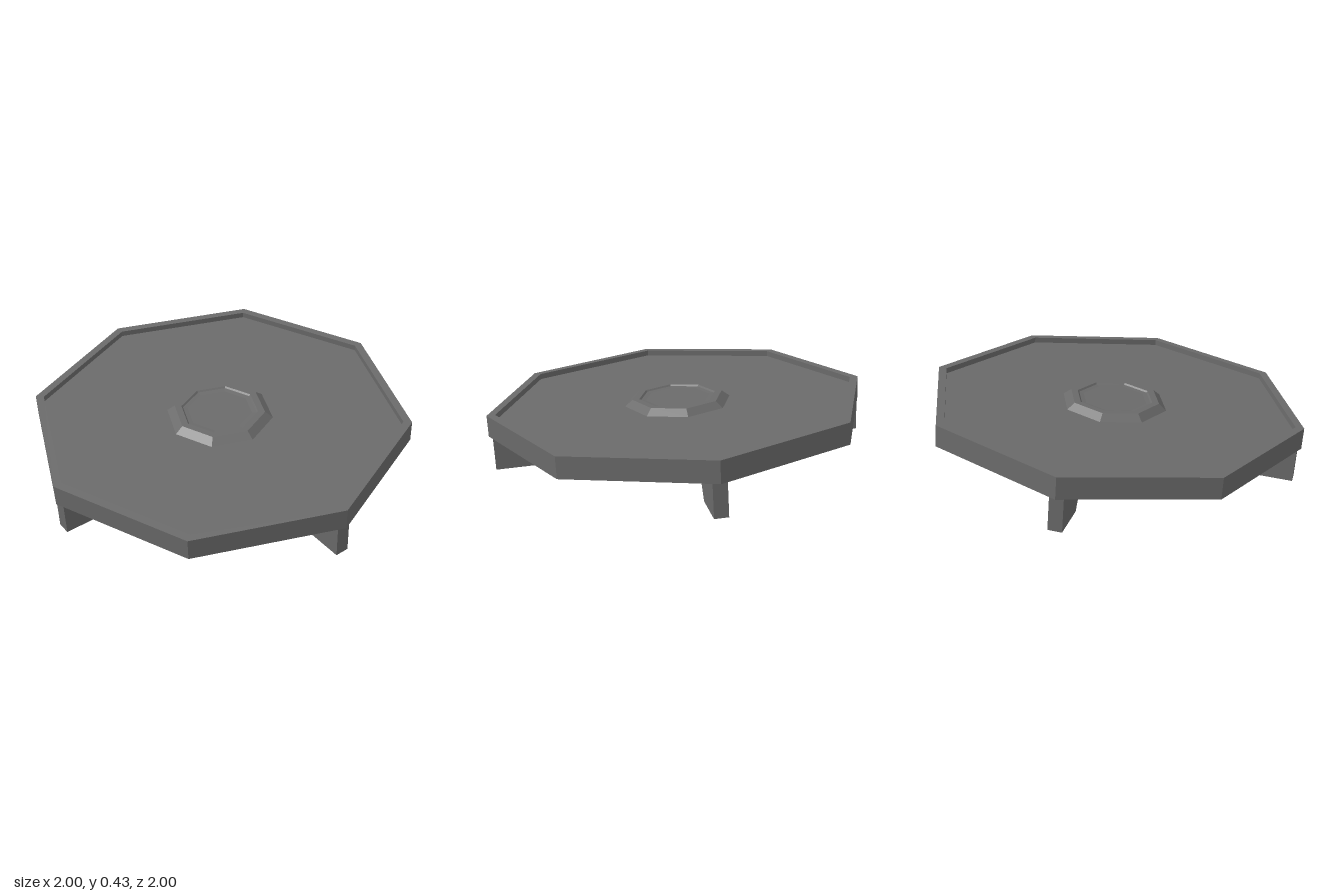
import * as THREE from 'three';

const SIDES = 8;
const TURN = 0.2;          // rotation of the octagon about its axis
const TILT = 0.0725;       // the platform leans down towards the front
const material = new THREE.MeshStandardMaterial({ color: 0x6a6a6a, flatShading: true });

const points = (list) => list.map(([x, y]) => new THREE.Vector2(x, y));

// Eight-sided solid turned from a profile of [radius, height]
function octagon(name, profile) {
  const mesh = new THREE.Mesh(new THREE.LatheGeometry(points(profile), SIDES, TURN), material);
  mesh.name = name;
  return mesh;
}

// Crossbeam with a tapered foot at both ends
function crossBeam(name, angle) {
  const top = -0.0575, under = -0.117, foot = -0.2345, width = 0.072;
  const half = [[0.72, under], [0.783, foot], [1.0, foot], [1.0, top]];
  const mirrored = half.map(([x, y]) => [-x, y]).reverse();
  const shape = new THREE.Shape(points([...mirrored, ...half]));
  const geometry = new THREE.ExtrudeGeometry(shape, { depth: width, bevelEnabled: false });
  geometry.translate(0, 0, -width / 2);
  const mesh = new THREE.Mesh(geometry, material);
  mesh.name = name;
  mesh.rotation.y = angle;
  return mesh;
}

export function createModel() {
  const model = new THREE.Group();
  model.name = 'platform';

  const tilted = new THREE.Group();
  tilted.name = 'tiltedPlatform';
  tilted.rotation.x = TILT;
  tilted.position.y = 0.297;
  model.add(tilted);

  // Slab with a raised rim around a sunken floor
  tilted.add(octagon('deck', [
    [0, -0.0575], [1.02, -0.0575], [1.02, 0.0575], [0.975, 0.0575], [0.975, 0.027], [0, 0.027],
  ]));

  // Central hub with sloping sides and a shallow, gently sloped dish
  tilted.add(octagon('hub', [
    [0.287, 0.027], [0.245, 0.06], [0.208, 0.06], [0.2, 0.052], [0.175, 0.049], [0, 0.049],
  ]));

  // Two crossed beams whose ends form the four feet
  tilted.add(crossBeam('crossBeamA', TURN - Math.PI / 4));
  tilted.add(crossBeam('crossBeamB', TURN + Math.PI / 4));

  return model;
}
